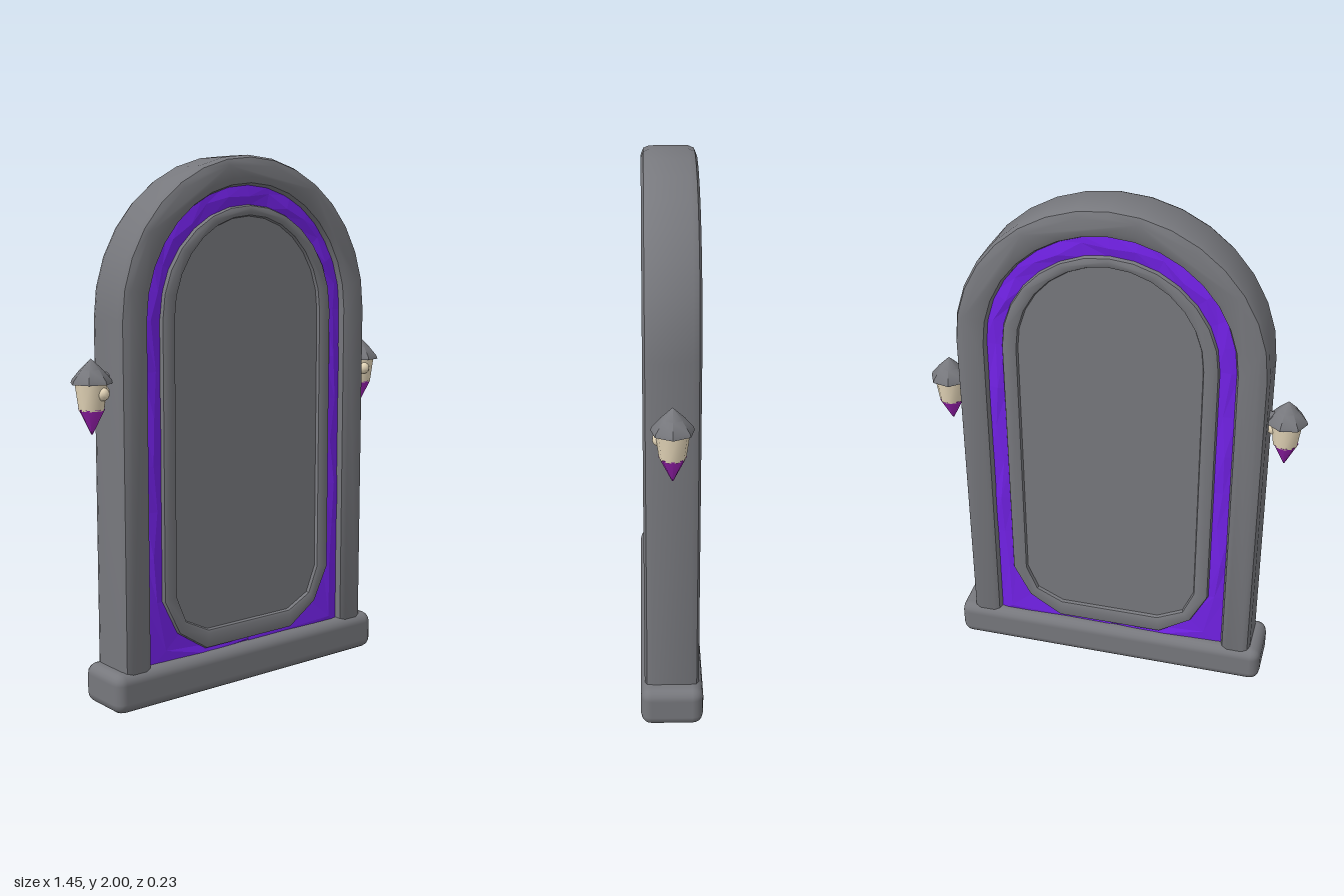
import * as THREE from 'three';
import { toCreasedNormals } from 'three/addons/utils/BufferGeometryUtils.js';
import { RoundedBoxGeometry } from 'three/addons/geometries/RoundedBoxGeometry.js';

const SPRING = 1.415; // height where the arch begins

export function createModel() {
  const stone = new THREE.MeshStandardMaterial({ color: 0x77787d });
  stone.name = 'greyStone';
  const crystal = new THREE.MeshStandardMaterial({ color: 0x7422ea, side: THREE.DoubleSide });
  crystal.name = 'violetCrystal';
  const glow = new THREE.MeshStandardMaterial({ color: 0xa322bc });
  glow.name = 'magentaTip';
  const cream = new THREE.MeshStandardMaterial({ color: 0xeadbbd });
  cream.name = 'creamLamp';

  const model = new THREE.Group();
  model.name = 'archedMirror';
  const add = (parent, name, geometry, material, x = 0, y = 0, z = 0) => {
    const mesh = new THREE.Mesh(geometry, material);
    mesh.name = name;
    mesh.position.set(x, y, z);
    parent.add(mesh);
    return mesh;
  };

  // Points over the arch from right (+x) to left, n steps
  const arc = (rx, ry, n) => Array.from({ length: n + 1 }, (_, i) => {
    const a = Math.PI * i / n;
    return new THREE.Vector2(Math.cos(a) * rx, SPRING + Math.sin(a) * ry);
  });
  const v = (x, y) => new THREE.Vector2(x, y);

  // Arched window outline with cut lower corners
  const windowOutline = (rx, top, bottom, cutX, cutY) => [
    v(-cutX, bottom), v(cutX, bottom),
    v((rx + cutX) / 2 + 0.03, (bottom + cutY) / 2 - 0.025), v(rx, cutY),
    ...arc(rx, top - SPRING, 14),
    v(-rx, cutY), v(-(rx + cutX) / 2 - 0.03, (bottom + cutY) / 2 - 0.025),
  ];

  // Extrusion centred on z = 0 with a bevel kept inside the outline
  const slab = (points, halfDepth, bevel, hole) => {
    const shape = new THREE.Shape(points);
    if (hole) shape.holes.push(new THREE.Path(hole));
    const g = new THREE.ExtrudeGeometry(shape, {
      depth: 2 * (halfDepth - bevel), bevelEnabled: bevel > 0,
      bevelThickness: bevel, bevelSize: bevel, bevelOffset: -bevel, bevelSegments: 2,
    });
    g.translate(0, 0, -(halfDepth - bevel));
    return toCreasedNormals(g, 0.6);
  };

  // Base block
  add(model, 'base', new RoundedBoxGeometry(1.27, 0.15, 0.23, 2, 0.04), stone, 0.004, 0.075, 0);

  // Outer arched frame
  add(model, 'outerFrame', slab([
    v(0.585, 0.1), ...arc(0.585, 0.585, 16), v(-0.585, 0.1),
    v(-0.465, 0.1), ...arc(0.465, 0.475, 16).reverse(), v(0.465, 0.1),
  ], 0.1, 0.03), stone);

  // Faceted crystal surround: matched outer and inner points from the lower right round to the left
  const half = [[0, 0.12, 0, 0.175], [0.19, 0.12, 0.19, 0.175], [0.475, 0.12, 0.32, 0.25]];
  for (let i = 0; i < 6; i++) {
    const y = 0.38 + i * 0.17;
    half.push([0.475, y, 0.395, y]);
  }
  const outerArc = arc(0.475, 0.485, 14), innerArc = arc(0.395, 0.4, 14);
  const strip = [
    ...half,
    ...outerArc.map((o, i) => [o.x, o.y, innerArc[i].x, innerArc[i].y]),
    ...half.map(([a, b, c, d]) => [-a, b, -c, d]).reverse(),
  ];
  const facets = (side) => {
    const rows = strip.map(([ox, oy, ix, iy], i) => {
      const t = 0.5 + 0.15 * Math.sin(i * 2.4);
      const ridge = 0.076 + 0.004 * Math.sin(i * 4.1);
      return [
        [ox, oy, side * 0.07],
        [ox + (ix - ox) * t, oy + (iy - oy) * t, side * ridge],
        [ix, iy, side * 0.07],
      ];
    });
    const pos = [];
    for (let i = 0; i < rows.length - 1; i++) {
      for (let j = 0; j < 2; j++) {
        const a = rows[i][j], b = rows[i + 1][j], c = rows[i + 1][j + 1], d = rows[i][j + 1];
        const tris = side > 0 ? [a, b, c, a, c, d] : [a, c, b, a, d, c];
        tris.forEach((p) => pos.push(...p));
      }
    }
    const g = new THREE.BufferGeometry();
    g.setAttribute('position', new THREE.Float32BufferAttribute(pos, 3));
    g.computeVertexNormals();
    return g;
  };
  add(model, 'frontCrystals', facets(1), crystal);
  add(model, 'backCrystals', facets(-1), crystal);

  // Inner ring and the plain panel inside it
  add(model, 'innerRing', slab(
    windowOutline(0.405, 1.82, 0.163, 0.21, 0.38), 0.09, 0.014,
    windowOutline(0.345, 1.778, 0.238, 0.2, 0.39)), stone);
  add(model, 'panel', slab(windowOutline(0.37, 1.795, 0.21, 0.2, 0.38), 0.074, 0), stone);

  // Side lanterns, mirrored across the frame
  for (const [name, side] of [['leftLantern', 1], ['rightLantern', -1]]) {
    const lantern = new THREE.Group();
    lantern.name = name;
    lantern.position.x = side * 0.65;
    model.add(lantern);

    // Hat-like roof with a closed underside
    const roof = new THREE.LatheGeometry(
      [v(0, 1.205), v(0.076, 1.2), v(0.072, 1.212), v(0.04, 1.25), v(0, 1.288)], 7);
    add(lantern, 'roof', toCreasedNormals(roof, 0.7), stone).rotation.y = side * Math.PI / 2;

    add(lantern, 'lampBody', toCreasedNormals(
      new THREE.CylinderGeometry(0.06, 0.046, 0.1, 10), 0.8), cream, 0, 1.155, 0);
    add(lantern, 'lampTip', toCreasedNormals(
      new THREE.CylinderGeometry(0.048, 0.003, 0.09, 8), 0.8), glow, 0, 1.065, 0);

    // Small round studs and the arm that joins the wall
    const stud = new THREE.SphereGeometry(0.024, 10, 8);
    add(lantern, 'wallStud', stud, cream, side * -0.048, 1.165, 0);
    add(lantern, 'frontStud', stud, cream, side * -0.018, 1.165, 0.045);
    const arm = add(lantern, 'arm', new THREE.CylinderGeometry(0.018, 0.022, 0.08, 8), stone, side * -0.05, 1.215, 0);
    arm.rotation.z = Math.PI / 2;
  }
  return model;
}
